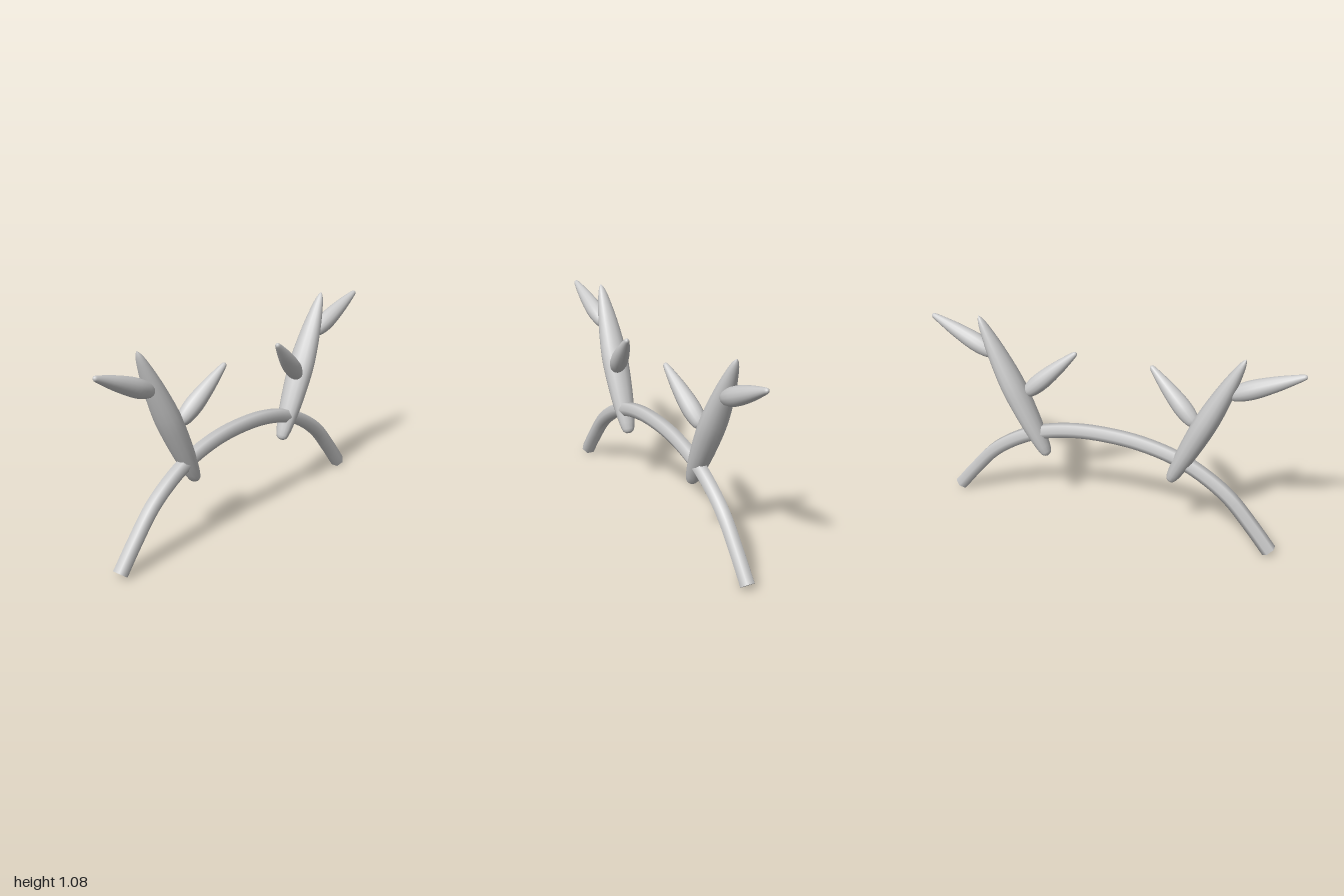
import * as THREE from 'three';

const V = (x, y, z) => new THREE.Vector3(x, y, z);
const grey = new THREE.MeshStandardMaterial({ color: 0xcccccc });
grey.name = 'light grey';

// Spindle from one point to another; profile lists [fraction of length, radius]
function spindle(name, from, to, profile, flatten = 1) {
  const axis = to.clone().sub(from);
  const length = axis.length();
  const curve = new THREE.SplineCurve(profile.map(([t, r]) => new THREE.Vector2(r, t * length)));
  const points = curve.getPoints(24).map((p) => new THREE.Vector2(Math.max(p.x, 0), p.y));
  const geometry = new THREE.LatheGeometry(points, 14);
  geometry.scale(flatten, 1, 1);
  const mesh = new THREE.Mesh(geometry, grey);
  mesh.name = name;
  mesh.position.copy(from);
  mesh.quaternion.setFromUnitVectors(V(0, 1, 0), axis.normalize());
  return mesh;
}

// Arched six-sided band with closed ends
function headband() {
  const group = new THREE.Group();
  group.name = 'headband';
  const half = [[0.892, 0.022], [0.79, 0.15], [0.66, 0.295], [0.5, 0.405], [0.36, 0.465], [0.18, 0.505]];
  const path = new THREE.CatmullRomCurve3([
    ...half.map(([x, y]) => V(-x, y, -0.005)),
    V(0, 0.516, -0.005),
    ...half.slice().reverse().map(([x, y]) => V(x, y, -0.005)),
  ]);
  const band = new THREE.Mesh(new THREE.TubeGeometry(path, 48, 0.04, 6), grey);
  band.name = 'bandArch';
  group.add(band);
  for (const end of [0, 1]) {
    const cap = new THREE.Mesh(new THREE.CircleGeometry(0.04, 6), grey);
    cap.name = 'bandEnd';
    cap.position.copy(path.getPointAt(end));
    cap.lookAt(path.getTangentAt(end).multiplyScalar(end ? 1 : -1).add(cap.position));
    group.add(cap);
  }
  return group;
}

const beamProfile = [[0, 0], [0.004, 0.018], [0.04, 0.038], [0.2, 0.059], [0.4, 0.071],
  [0.55, 0.071], [0.75, 0.054], [0.9, 0.032], [0.97, 0.016], [1, 0]];
const tineProfile = [[0, 0], [0.01, 0.02], [0.06, 0.036], [0.2, 0.046], [0.36, 0.047],
  [0.6, 0.038], [0.8, 0.026], [0.94, 0.016], [0.985, 0.01], [1, 0]];

// One antler: main beam with an outer and an inner tine
function antler(side) {
  const group = new THREE.Group();
  group.name = side > 0 ? 'leftAntler' : 'rightAntler';
  const p = (x, y, z) => V(side * x, y, z);
  group.add(
    spindle('mainBeam', p(0.347, 0.325, -0.01), p(0.71, 1.083, -0.026), beamProfile, 0.85),
    spindle('outerTine', p(0.635, 0.872, -0.01), p(1.0, 1.035, 0), tineProfile),
    spindle('innerTine', p(0.468, 0.668, 0.004), p(0.202, 0.92, 0.066), tineProfile),
  );
  return group;
}

export function createModel() {
  const model = new THREE.Group();
  model.name = 'antlerHeadband';
  model.add(headband(), antler(1), antler(-1));
  return model;
}
